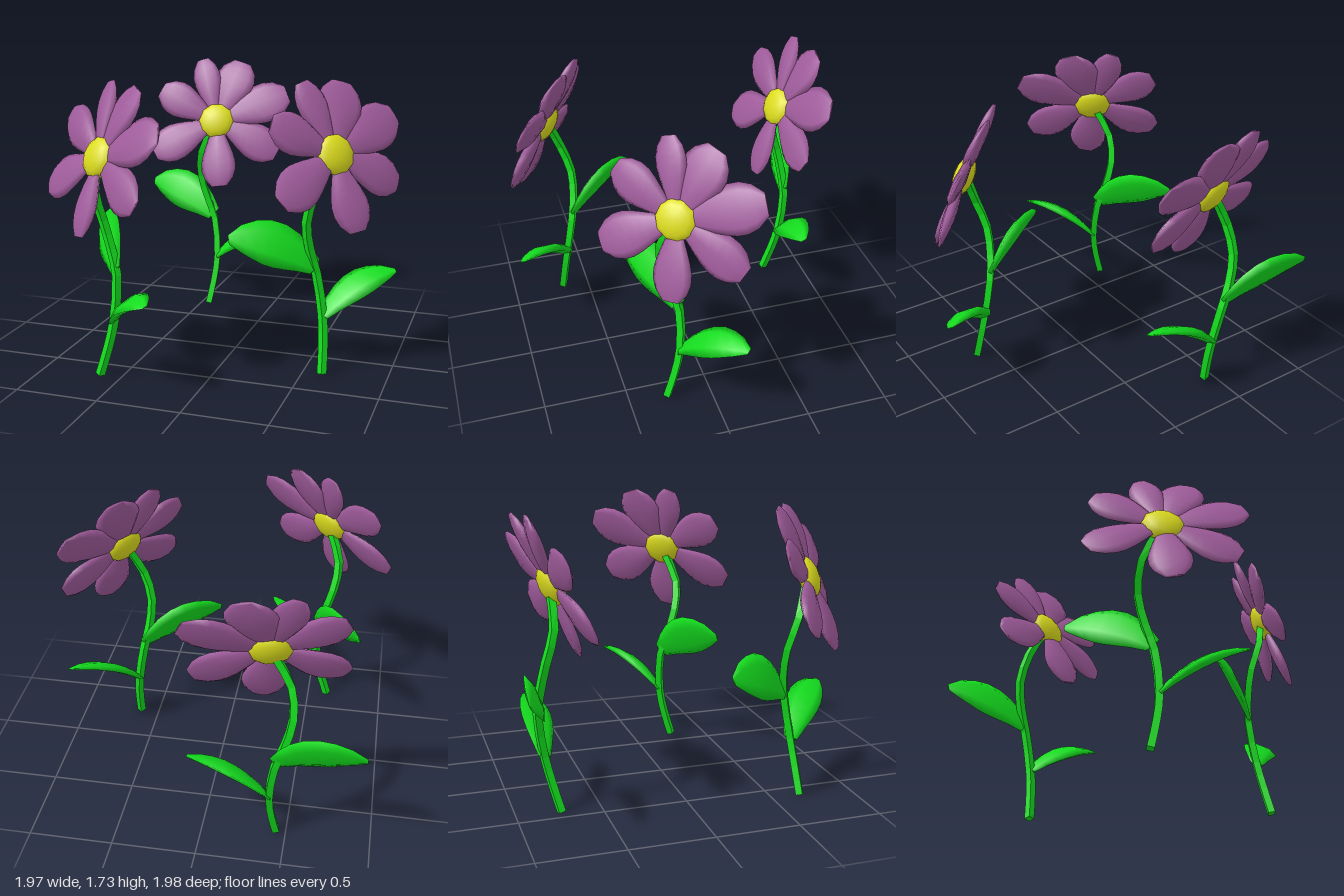
import * as THREE from 'three';

const V = (x, y, z) => new THREE.Vector3(x, y, z);
const mat = (color, flatShading = false) => new THREE.MeshStandardMaterial({ color, flatShading });
const purple = mat(0xa05c9c), yellow = mat(0xdcdc1e), green = mat(0x14dc1e), stemGreen = mat(0x14dc1e, true);

// Closed solid swept along a curve; each section is an ellipse-like ring
// with half width widths[i] along `side` and half thickness thick[i].
function sweep(name, curve, side, widths, thick, material, ring) {
  const pos = [], idx = [], n = widths.length;
  for (let i = 0; i < n; i++) {
    const t = i / (n - 1);
    const c = curve.getPoint(t), tan = curve.getTangent(t);
    const s = side.clone().addScaledVector(tan, -side.dot(tan)).normalize();
    const nrm = tan.clone().cross(s);
    for (let j = 0; j < ring; j++) {
      const a = (j / ring) * Math.PI * 2;
      const p = c.clone().addScaledVector(s, Math.cos(a) * widths[i]).addScaledVector(nrm, Math.sin(a) * thick[i]);
      pos.push(p.x, p.y, p.z);
    }
  }
  for (let i = 0; i < n - 1; i++) {
    for (let j = 0; j < ring; j++) {
      const a = i * ring + j, b = i * ring + (j + 1) % ring;
      idx.push(a, b, b + ring, a, b + ring, a + ring);
    }
  }
  // end caps
  const last = (n - 1) * ring;
  for (let j = 1; j < ring - 1; j++) {
    idx.push(0, j + 1, j, last, last + j, last + j + 1);
  }
  const geo = new THREE.BufferGeometry();
  geo.setAttribute('position', new THREE.Float32BufferAttribute(pos, 3));
  geo.setIndex(idx);
  geo.computeVertexNormals();
  const mesh = new THREE.Mesh(geo, material);
  mesh.name = name;
  return mesh;
}

// Petal tips relative to the head's centre, and half widths
const PETALS = [
  [-0.115, 0.435, -0.01, 0.095], [0.165, 0.415, 0, 0.14], [0.48, 0.19, 0.02, 0.14], [0.42, -0.215, -0.015, 0.125],
  [0.035, -0.455, 0, 0.12], [-0.425, -0.225, -0.02, 0.13], [-0.39, 0.215, 0, 0.12],
];

function createHead() {
  const head = new THREE.Group();
  head.name = 'flowerHead';
  const widths = [0.35, 0.52, 0.71, 0.88, 1, 1, 0.84, 0.45];
  const thick = [0.014, 0.023, 0.03, 0.034, 0.034, 0.031, 0.024, 0.01];
  for (const [u, v, z, w] of PETALS) {
    const dir = V(u, v, 0).normalize();
    const path = new THREE.LineCurve3(dir.clone().multiplyScalar(0.06), V(u, v, z));
    const side = V(-dir.y, dir.x, -0.17 * dir.y);
    head.add(sweep('petal', path, side, widths.map((k) => k * w), thick, purple, 8));
  }
  // domed centre disc
  const geo = new THREE.SphereGeometry(0.123, 10, 8);
  geo.rotateX(Math.PI / 2);
  geo.scale(1, 1, 0.48);
  const centre = new THREE.Mesh(geo, yellow);
  centre.name = 'flowerCentre';
  head.add(centre);
  head.position.set(0.063, 1.32, 0);
  head.rotation.x = -THREE.MathUtils.degToRad(22.5);
  return head;
}

function createLeaf(name, base, mid, tip, side, halfWidth) {
  const widths = [0.4, 0.66, 0.88, 1, 1, 0.86, 0.62, 0.2].map((k) => k * halfWidth);
  const thick = [0.012, 0.02, 0.026, 0.03, 0.03, 0.025, 0.018, 0.006];
  return sweep(name, new THREE.QuadraticBezierCurve3(base, mid, tip), side, widths, thick, green, 6);
}

function createFlower() {
  const flower = new THREE.Group();
  flower.name = 'flower';
  // winding square stem
  const stem = new THREE.CatmullRomCurve3([
    V(0, 0.005, 0), V(0.035, 0.17, -0.037), V(0.055, 0.34, -0.073), V(0.034, 0.6, -0.115),
    V(-0.016, 0.75, -0.117), V(-0.06, 0.92, -0.095), V(-0.05, 1.1, -0.038), V(0.045, 1.29, -0.012),
  ]);
  const r = Array(15).fill(0.029);
  flower.add(sweep('stem', stem, V(1, 0, 1), r, r, stemGreen, 4));
  flower.add(createLeaf('upperLeaf', V(0.025, 0.635, -0.115), V(-0.19, 0.84, -0.22), V(-0.437, 0.82, -0.34), V(0.42, 0.88, -0.22), 0.135));
  flower.add(createLeaf('lowerLeaf', V(0.055, 0.34, -0.07), V(0.28, 0.57, -0.025), V(0.518, 0.57, 0.042), V(0, -0.39, 0.92), 0.105));
  flower.add(createHead());
  return flower;
}

export function createModel() {
  const group = new THREE.Group();
  group.name = 'flowers';
  // three identical flowers: x, z, turn in degrees
  for (const [x, z, turn] of [[-0.63, 0.67, -31], [0.62, 0.268, 51.5], [-0.44, -0.74, 12]]) {
    const flower = createFlower();
    flower.position.set(x, 0, z);
    flower.rotation.y = THREE.MathUtils.degToRad(turn);
    group.add(flower);
  }
  return group;
}
